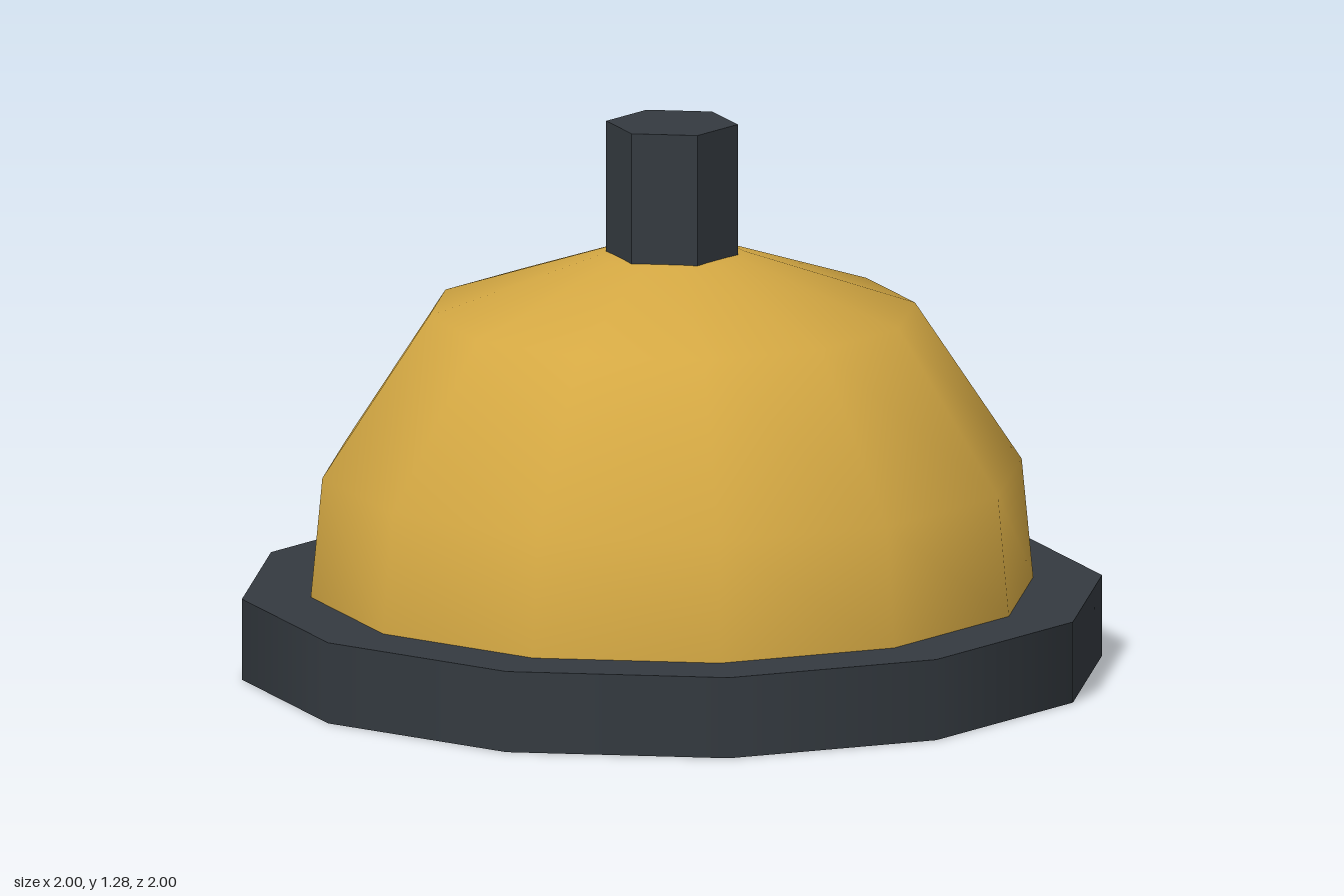
import * as THREE from 'three';

export function createModel() {
  const group = new THREE.Group();
  const dark = new THREE.MeshStandardMaterial({ color: 0x343a40 });
  dark.name = 'darkGrey';
  const darkFlat = dark.clone(); // same colour, faceted
  darkFlat.flatShading = true;
  const gold = new THREE.MeshStandardMaterial({ color: 0xd4a843 });
  gold.name = 'gold';

  const add = (name, geometry, material, y = 0) => {
    const mesh = new THREE.Mesh(geometry, material);
    mesh.name = name;
    mesh.position.y = y;
    group.add(mesh);
  };

  // Twelve-sided base plate
  add('base', new THREE.CylinderGeometry(1, 1, 0.19, 12), dark, 0.095);

  // Rounded dome, sunk slightly into the base
  const profile = [[0.846, 0.13], [0.84, 0.19], [0.813, 0.47], [0.565, 0.845], [0.17, 0.977], [0, 0.985]]
    .map(([r, y]) => new THREE.Vector2(r, y));
  add('dome', new THREE.LatheGeometry(profile, 12), gold);

  // Hexagonal stud on top
  add('stud', new THREE.CylinderGeometry(0.153, 0.153, 0.335, 6, 1, false, Math.PI / 4), darkFlat, 1.1175);

  return group;
}
